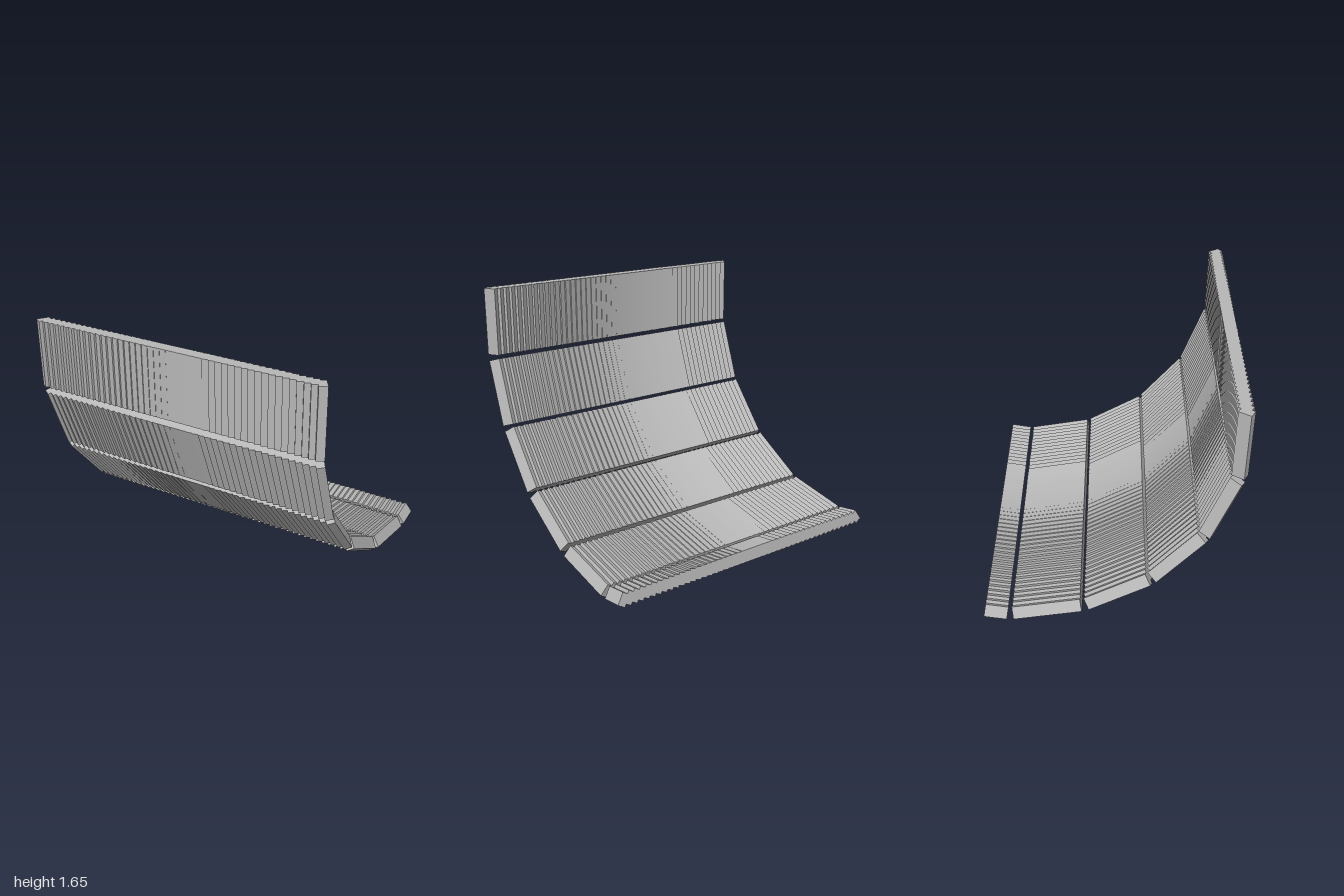
import * as THREE from 'three';

const HALF_COUNT = 23;     // slats on each side of the middle one
const REACH = 0.957;       // x of the outermost slat centre
const MAX_TURN = THREE.MathUtils.degToRad(32.5);
const SLAT_WIDTH = 0.052;
const SLAT_DEPTH = 0.08;

// Rows from top to bottom: centre y, centre z, length, tilt in degrees
const ROWS = [
  { name: 'topRow', y: 1.433, z: 0.752, length: 0.445, tilt: 0 },
  { name: 'upperRow', y: 0.966, z: 0.667, length: 0.445, tilt: 20 },
  { name: 'middleRow', y: 0.559, z: 0.43, length: 0.445, tilt: 40 },
  { name: 'lowerRow', y: 0.252, z: 0.066, length: 0.445, tilt: 60 },
  { name: 'bottomRow', y: 0.088, z: -0.385, length: 0.445, tilt: 80 },
  { name: 'lipRow', y: 0.062, z: -0.713, length: 0.147, tilt: 100 },
];

// One row of slats, each turned further toward the middle the farther out it sits
function makeRow({ name, y, z, length, tilt }, material) {
  const row = new THREE.Group();
  row.name = name;
  const geometry = new THREE.BoxGeometry(SLAT_WIDTH, length, SLAT_DEPTH);
  for (let i = -HALF_COUNT; i <= HALF_COUNT; i++) {
    const s = i / HALF_COUNT;
    const slat = new THREE.Mesh(geometry, material);
    slat.name = 'slat';
    slat.position.x = s * REACH;
    slat.rotation.y = s * MAX_TURN;
    row.add(slat);
  }
  row.position.set(0, y, z);
  row.rotation.x = THREE.MathUtils.degToRad(tilt);
  return row;
}

export function createModel() {
  const model = new THREE.Group();
  model.name = 'slattedReflector';
  const grey = new THREE.MeshStandardMaterial({ color: 0xb8b8b8 });
  grey.name = 'grey';
  for (const row of ROWS) model.add(makeRow(row, grey));
  return model;
}
